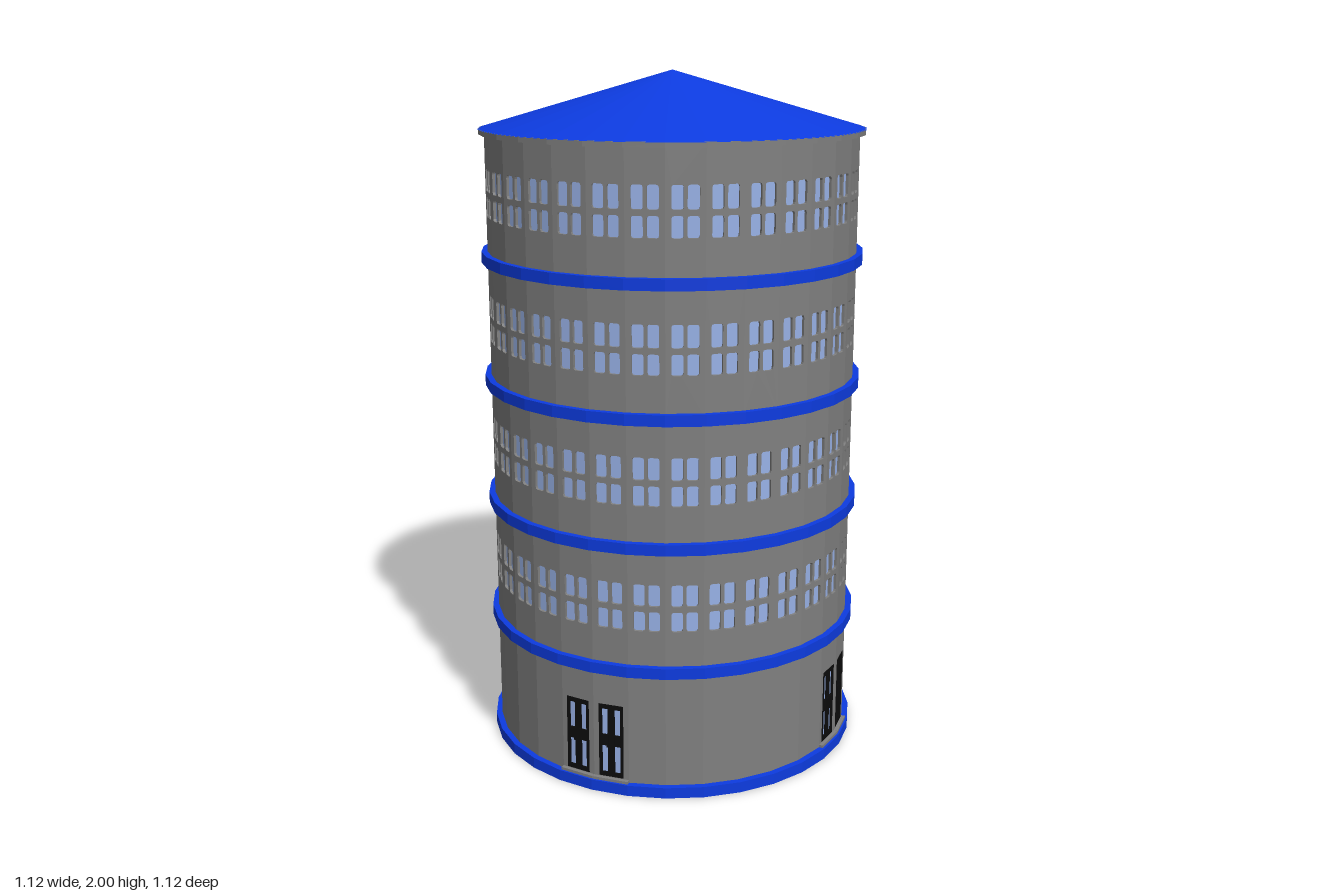
import * as THREE from 'three';
import { mergeGeometries } from 'three/addons/utils/BufferGeometryUtils.js';

const N = 32;                                  // sides of the tower
const R = 0.541;                               // wall corner radius
const A = R * Math.cos(Math.PI / N);           // distance to the middle of a wall facet
const W = 2 * R * Math.sin(Math.PI / N);       // facet width
const T = 0.012;                               // wall thickness
const GROUND = 0.382, STOREY = 0.364;

const mat = (name, color) => Object.assign(new THREE.MeshStandardMaterial({ color }), { name });

// Rectangle path with softened corners
function rect(x0, y0, x1, y1, r = 0, Type = THREE.Path) {
  const p = new Type();
  if (!r) {
    p.moveTo(x0, y0).lineTo(x1, y0).lineTo(x1, y1).lineTo(x0, y1).closePath();
    return p;
  }
  p.moveTo(x0 + r, y0).lineTo(x1 - r, y0).quadraticCurveTo(x1, y0, x1, y0 + r);
  p.lineTo(x1, y1 - r).quadraticCurveTo(x1, y1, x1 - r, y1);
  p.lineTo(x0 + r, y1).quadraticCurveTo(x0, y1, x0, y1 - r);
  p.lineTo(x0, y0 + r).quadraticCurveTo(x0, y0, x0 + r, y0);
  return p;
}

// Upright panel with holes, its outer face at distance z from the axis
function panel(x0, y0, x1, y1, holes, depth, z) {
  const s = rect(x0, y0, x1, y1, 0, THREE.Shape);
  s.holes.push(...holes);
  const g = new THREE.ExtrudeGeometry(s, { depth, bevelEnabled: false, curveSegments: 2 });
  return g.translate(0, 0, z - depth);
}

function box(x0, y0, x1, y1, depth, z) {
  return new THREE.BoxGeometry(x1 - x0, y1 - y0, depth)
    .translate((x0 + x1) / 2, (y0 + y1) / 2, z - depth / 2);
}

// Copies of a facet geometry turned to the given sides of the tower
function around(geo, sides) {
  return mergeGeometries(sides.map(i => geo.clone().rotateY((i + 0.5) * 2 * Math.PI / N)));
}

// Flat-sided band from a closed radius/height profile
function band(inner, outer, y0, y1) {
  const pts = [[inner, y0], [outer, y0], [outer, y1], [inner, y1], [inner, y0]];
  const g = new THREE.LatheGeometry(pts.map(p => new THREE.Vector2(...p)), N).toNonIndexed();
  g.computeVertexNormals();
  return g;
}

function flat(geo) {
  const g = geo.toNonIndexed();
  g.computeVertexNormals();
  return g;
}

export function createModel() {
  const wall = mat('grey wall', 0x808080);
  const blue = mat('blue trim', 0x0d3be0);
  const glass = mat('pale blue glass', 0x9ab4ea);
  const black = mat('black door frame', 0x0c0c0c);

  const model = new THREE.Group();
  model.name = 'roundTower';
  const add = (name, geo, material, parent = model) => {
    const m = new THREE.Mesh(geo, material);
    m.name = name;
    parent.add(m);
    return m;
  };

  const all = Array.from({ length: N }, (_, i) => i);
  const doorSides = all.filter(i => i % 8 === 0 || i % 8 === 7);
  const plainSides = all.filter(i => !doorSides.includes(i));

  // Ground storey: plain facets and facets with a door opening
  const opening = rect(-0.037, 0.042, 0.037, 0.266);
  add('groundWall', around(panel(-W / 2, 0.02, W / 2, GROUND, [], T, A), plainSides), wall);
  add('doorWall', around(panel(-W / 2, 0.02, W / 2, GROUND, [opening], T, A), doorSides), wall);

  // Doors: black double leaves with narrow panes, handles and a step
  const doorPanes = [];
  for (const x of [-0.028, 0.010])
    for (const [y0, y1] of [[0.055, 0.138], [0.172, 0.252]])
      doorPanes.push(rect(x, y0, x + 0.018, y1));
  add('doorFrames', around(panel(-0.037, 0.042, 0.037, 0.266, doorPanes, T, A + 0.001), doorSides), black);
  add('doorGlass', around(box(-0.034, 0.046, 0.034, 0.262, 0.004, A - 0.004), doorSides), glass);
  for (const x of [-0.009, 0.009])
    add('doorHandles', around(box(x - 0.003, 0.135, x + 0.003, 0.175, 0.006, A + 0.006), doorSides), black);
  add('doorSteps', around(box(-W / 2, 0.03, W / 2, 0.04, 0.014, A + 0.012), doorSides), wall);

  // Upper storeys: one four-pane window in every facet
  const panes = [];
  for (const x of [-0.037, 0.005])
    for (const [y0, y1] of [[0.118, 0.176], [0.192, 0.256]])
      panes.push(rect(x, y0, x + 0.032, y1, 0.007));
  const storeyWall = around(panel(-W / 2, 0, W / 2, STOREY, panes, T, A), all);
  const storeyGlass = around(box(-0.042, 0.112, 0.042, 0.262, 0.005, A - 0.008), all);
  for (let k = 0; k < 4; k++) {
    const storey = new THREE.Group();
    storey.name = 'storey' + (k + 1);
    storey.position.y = GROUND + k * STOREY;
    add('windowWall', storeyWall, wall, storey);
    add('windowGlass', storeyGlass, glass, storey);
    // Blue band at the foot of the storey
    add('storeyBand', band(0.534, 0.559, -0.016, 0.016), blue, storey);
    model.add(storey);
  }

  // Open base ring
  add('baseBand', band(0.528, 0.559, 0, 0.032), blue);

  // Eave plate and conical roof
  add('eave', flat(new THREE.CylinderGeometry(0.557, 0.557, 0.015, N).translate(0, 1.8315, 0)), wall);
  add('roof', flat(new THREE.ConeGeometry(0.559, 0.162, N).translate(0, 1.919, 0)), blue);

  return model;
}
